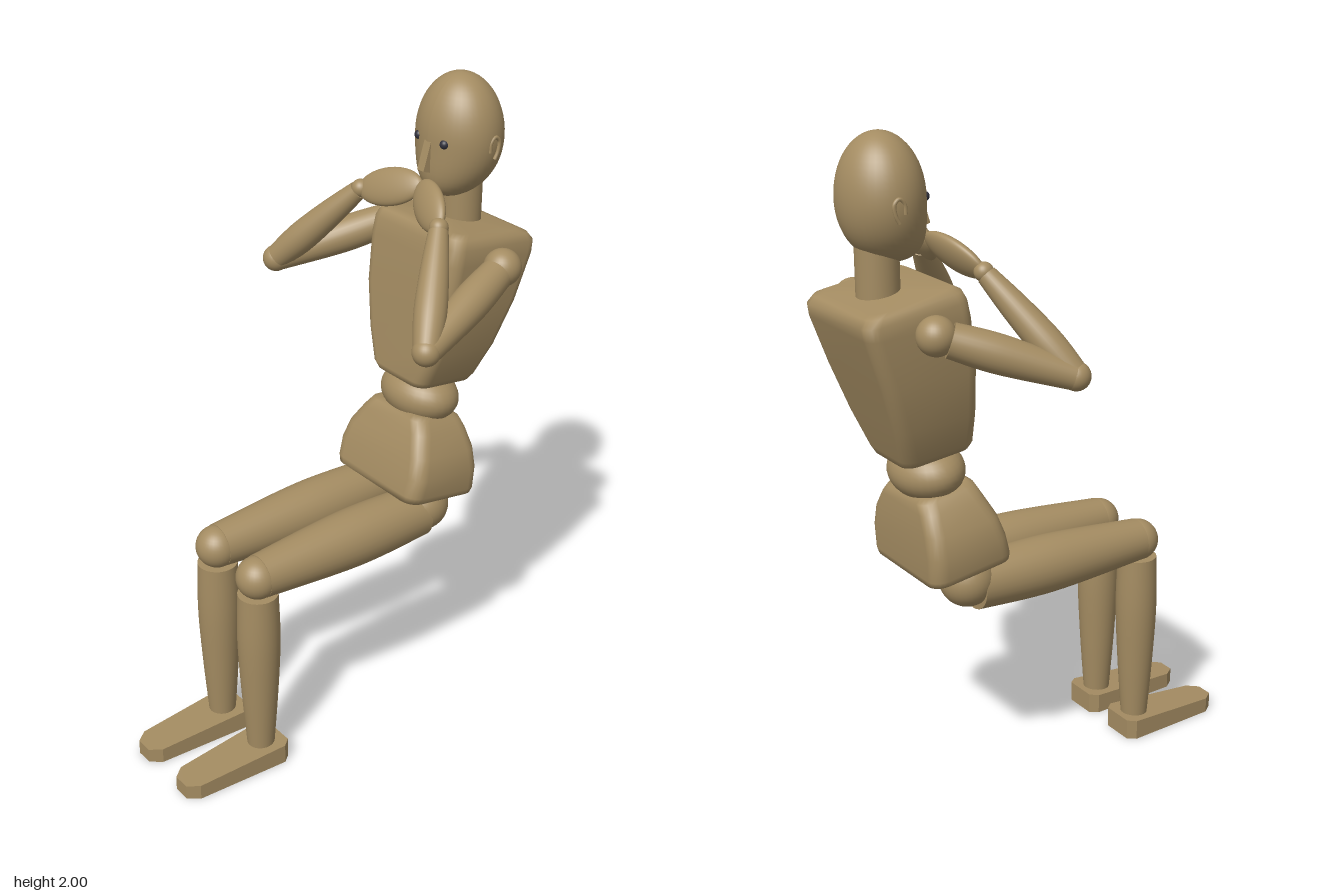
import * as THREE from 'three';

const V = (x, y, z) => new THREE.Vector3(x, y, z);
const wood = new THREE.MeshStandardMaterial({ color: 0xa48c62 });
const dark = new THREE.MeshStandardMaterial({ color: 0x30303c });

function add(parent, name, geometry, material = wood) {
  const mesh = new THREE.Mesh(geometry, material);
  mesh.name = name;
  parent.add(mesh);
  return mesh;
}

function ball(parent, name, p, rx, ry = rx, rz = rx, material = wood) {
  const mesh = add(parent, name, new THREE.SphereGeometry(1, 32, 20), material);
  mesh.position.copy(p);
  mesh.scale.set(rx, ry, rz);
  return mesh;
}

// Turned limb from a to b; profile is a list of [fraction, radius], closed with flat ends
function limb(parent, name, a, b, profile) {
  const axis = b.clone().sub(a), len = axis.length();
  const curve = new THREE.SplineCurve(profile.map(([t, r]) => new THREE.Vector2(r, t * len)));
  const g = new THREE.LatheGeometry(curve.getPoints(16), 28);
  const mesh = add(parent, name, g);
  mesh.position.copy(a);
  mesh.quaternion.setFromUnitVectors(V(0, 1, 0), axis.normalize());
  for (const [t, r] of [profile[0], profile[profile.length - 1]]) {
    const cap = add(mesh, name + 'End', new THREE.CircleGeometry(r, 28));
    cap.position.y = t * len;
    cap.rotation.x = t < 0.5 ? Math.PI / 2 : -Math.PI / 2;
  }
  return mesh;
}

// Block lofted through rounded rectangles: [frontX, frontY, backX, backY, halfWidth], bottom up
function loft(sections, radius) {
  const pos = [], idx = [], per = 6, n = per * 4;
  for (const [fx, fy, bx, by, w] of sections) {
    const c = V((fx + bx) / 2, (fy + by) / 2, 0);
    const d = V((bx - fx) / 2, (by - fy) / 2, 0), h = d.length();
    d.normalize();
    const r = Math.min(radius, h * 0.9, w * 0.9);
    for (let i = 0; i < n; i++) {
      const q = Math.floor(i / per);
      const a = (q + (i % per) / (per - 1)) * Math.PI / 2;
      const u = (q === 0 || q === 3 ? 1 : -1) * (h - r) + r * Math.cos(a);
      const v = (q < 2 ? 1 : -1) * (w - r) + r * Math.sin(a);
      pos.push(c.x + d.x * u, c.y + d.y * u, v);
    }
  }
  const rows = sections.length;
  for (let j = 0; j < rows - 1; j++) for (let i = 0; i < n; i++) {
    const a = j * n + i, b = j * n + (i + 1) % n;
    idx.push(a, a + n, b, b, a + n, b + n);
  }
  // end caps
  for (const j of [0, rows - 1]) {
    const [fx, fy, bx, by] = sections[j], c = pos.length / 3;
    pos.push((fx + bx) / 2, (fy + by) / 2, 0);
    for (let i = 0; i < n; i++) {
      const a = j * n + i, b = j * n + (i + 1) % n;
      if (j) idx.push(c, b, a); else idx.push(c, a, b);
    }
  }
  const g = new THREE.BufferGeometry();
  g.setAttribute('position', new THREE.Float32BufferAttribute(pos, 3));
  g.setIndex(idx);
  g.computeVertexNormals();
  return g;
}

function buildHead(root) {
  const head = new THREE.Group();
  head.name = 'head';
  head.position.set(0.476, 1.82, 0);
  root.add(head);
  // egg with the jaw pushed forward
  const g = new THREE.SphereGeometry(1, 40, 28), p = g.attributes.position;
  for (let i = 0; i < p.count; i++) {
    const t = Math.max(0, -p.getY(i));
    p.setXYZ(i, p.getX(i) * 0.122 * (1 + 0.3 * t * t) - 0.036 * t * t, p.getY(i) * 0.18, p.getZ(i) * 0.137);
  }
  g.computeVertexNormals();
  add(head, 'skull', g);
  // wedge nose
  const side = new THREE.Shape([[-0.118, 0.01], [-0.146, -0.085], [-0.10, -0.1], [-0.09, 0]].map(q => new THREE.Vector2(...q)));
  const nose = add(head, 'nose', new THREE.ExtrudeGeometry(side, { depth: 0.028, bevelEnabled: false }));
  nose.position.z = -0.014;
  for (const s of [1, -1]) {
    ball(head, 'eye', V(-0.106, 0.0, s * 0.055), 0.014, 0.014, 0.014, dark);
    // hooked ear ridge
    const path = [[-0.003, -0.025], [0, 0.004], [0.015, 0.018], [0.03, 0.005], [0.027, -0.025], [0.016, -0.048]];
    const curve = new THREE.CatmullRomCurve3(path.map(([x, y]) => V(x, y, s * 0.134)));
    add(head, 'ear', new THREE.TubeGeometry(curve, 24, 0.006, 8));
  }
}

function buildLeg(root, s) {
  const leg = new THREE.Group();
  leg.name = s > 0 ? 'leftLeg' : 'rightLeg';
  leg.position.z = s * 0.105;
  root.add(leg);
  ball(leg, 'hipJoint', V(0.285, 0.688, 0), 0.084);
  limb(leg, 'thigh', V(0.265, 0.668, 0), V(-0.335, 0.666, 0), [[0, 0.081], [0.44, 0.089], [1, 0.066]]);
  ball(leg, 'kneeJoint', V(-0.34, 0.665, 0), 0.065);
  limb(leg, 'shin', V(-0.34, 0.055, 0), V(-0.34, 0.61, 0), [[0, 0.042], [0.35, 0.056], [0.7, 0.065], [1, 0.061]]);
  ball(leg, 'ankle', V(-0.34, 0.06, 0), 0.042);
  // foot: chamfered plan, top sloping down to the toe
  const half = [[-0.635, 0.027], [-0.6, 0.054], [-0.3, 0.072], [-0.275, 0.052]];
  const plan = [...half, ...half.slice().reverse().map(([x, y]) => [x, -y])];
  const g = new THREE.ExtrudeGeometry(new THREE.Shape(plan.map(q => new THREE.Vector2(...q))), { depth: 1, bevelEnabled: false });
  g.rotateX(-Math.PI / 2);
  const p = g.attributes.position;
  for (let i = 0; i < p.count; i++) p.setY(i, p.getY(i) * (0.065 + (p.getX(i) + 0.275) * 0.05));
  g.computeVertexNormals();
  add(leg, 'foot', g);
}

function buildArm(root, name, shoulder, elbow, wrist, tip) {
  const arm = new THREE.Group();
  arm.name = name;
  root.add(arm);
  ball(arm, 'shoulderJoint', shoulder, 0.056);
  limb(arm, 'upperArm', shoulder, elbow, [[0.1, 0.05], [0.45, 0.055], [1, 0.04]]);
  ball(arm, 'elbowJoint', elbow, 0.041);
  limb(arm, 'forearm', elbow, wrist, [[0, 0.038], [0.3, 0.047], [0.65, 0.041], [0.97, 0.029]]);
  ball(arm, 'wristJoint', wrist, 0.028);
  // flattened hand lying along wrist to tip
  const along = tip.clone().sub(wrist), length = along.length();
  along.normalize();
  const thick = along.clone().cross(V(0.45, 0.9, 0)).normalize();
  const wide = thick.clone().cross(along);
  const hand = ball(arm, 'hand', wrist.clone().lerp(tip, 0.5), length / 2 + 0.005, 0.058, 0.026);
  hand.quaternion.setFromRotationMatrix(new THREE.Matrix4().makeBasis(along, wide, thick));
}

export function createModel() {
  const model = new THREE.Group();
  model.name = 'seatedFigure';
  const body = new THREE.Group();
  body.name = 'body';
  body.position.z = 0.043;
  model.add(body);

  buildHead(body);
  limb(body, 'neck', V(0.492, 1.53, 0), V(0.492, 1.72, 0), [[0, 0.062], [0.5, 0.062], [1, 0.062]]);

  add(body, 'chest', loft([
    [0.275, 1.082, 0.455, 1.055, 0.085], [0.258, 1.092, 0.476, 1.064, 0.108],
    [0.253, 1.112, 0.486, 1.085, 0.122], [0.265, 1.21, 0.525, 1.19, 0.16],
    [0.278, 1.35, 0.574, 1.33, 0.188], [0.297, 1.5, 0.624, 1.475, 0.197],
    [0.306, 1.55, 0.63, 1.51, 0.194], [0.318, 1.577, 0.615, 1.532, 0.184],
    [0.34, 1.587, 0.59, 1.542, 0.165]], 0.04));

  const waist = ball(body, 'waist', V(0.355, 1.015, 0), 0.107, 0.085, 0.137);
  waist.rotation.z = -0.15;

  add(body, 'pelvis', loft([
    [0.19, 0.746, 0.42, 0.708, 0.172], [0.17, 0.754, 0.437, 0.712, 0.187],
    [0.172, 0.775, 0.441, 0.73, 0.193], [0.187, 0.83, 0.444, 0.80, 0.196],
    [0.206, 0.89, 0.444, 0.865, 0.18], [0.235, 0.95, 0.439, 0.92, 0.147],
    [0.25, 0.983, 0.435, 0.946, 0.123], [0.268, 0.992, 0.42, 0.957, 0.106]], 0.045));

  for (const s of [1, -1]) buildLeg(body, s);
  buildArm(body, 'leftArm', V(0.445, 1.487, 0.24), V(0.073, 1.368, 0.345), V(0.262, 1.63, 0.165), V(0.335, 1.69, -0.005));
  buildArm(body, 'rightArm', V(0.455, 1.487, -0.25), V(0.13, 1.368, -0.435), V(0.28, 1.63, -0.21), V(0.335, 1.69, 0.0));
  return model;
}
